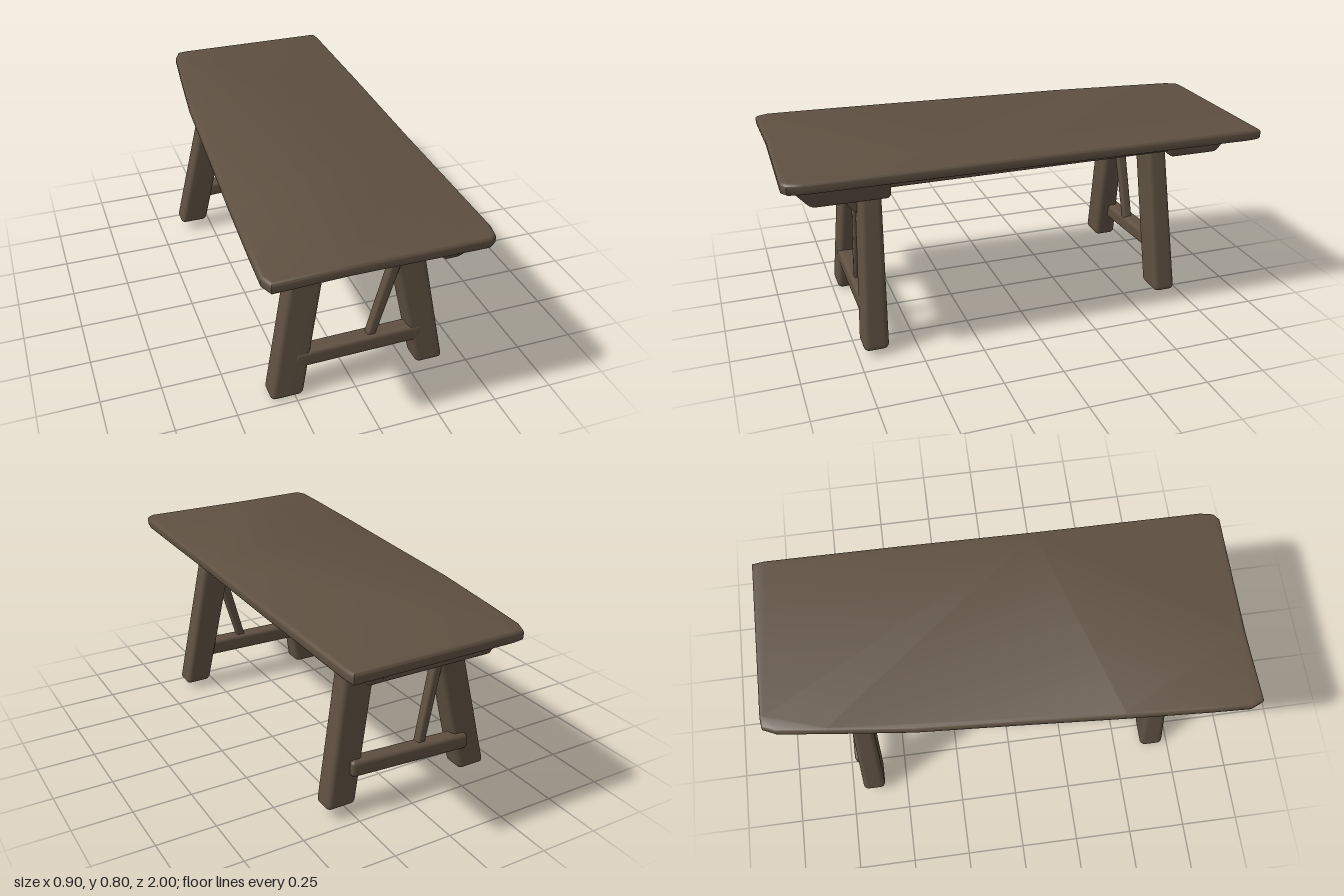
import * as THREE from 'three';
import { mergeVertices, toCreasedNormals } from 'three/addons/utils/BufferGeometryUtils.js';
import { RoundedBoxGeometry } from 'three/addons/geometries/RoundedBoxGeometry.js';

const wood = new THREE.MeshStandardMaterial({ color: 0x5e5041 });
wood.name = 'dark weathered wood';

// Softly rounded timber along one axis, from centre a to centre b.
// sa and sb are the sizes of the two ends (the value on the axis is ignored).
function timber(name, axis, a, b, sa, sb = sa, radius = 0.018) {
  const len = b[axis] - a[axis];
  const dim = [0, 1, 2].map(i => (i === axis ? len : (sa[i] + sb[i]) / 2));
  let geo = new RoundedBoxGeometry(...dim, 3, Math.min(radius, Math.min(...dim) * 0.45));
  const pos = geo.attributes.position;
  for (let v = 0; v < pos.count; v++) {
    const p = [pos.getX(v), pos.getY(v), pos.getZ(v)];
    const t = p[axis] / len + 0.5;
    const q = p.map((c, i) => {
      const centre = a[i] + (b[i] - a[i]) * t;
      return i === axis ? centre : centre + c * (sa[i] + (sb[i] - sa[i]) * t) / dim[i];
    });
    pos.setXYZ(v, ...q);
  }
  geo.deleteAttribute('normal');
  geo.deleteAttribute('uv');
  geo = mergeVertices(geo, 1e-5);
  geo.computeVertexNormals();
  const mesh = new THREE.Mesh(geo, wood);
  mesh.name = name;
  return mesh;
}

// Uneven slab with softened edges
function tabletop() {
  const bevel = 0.015;
  const outline = [
    [-0.25, -1], [0.445, -1], [0.45, -0.96], [0.445, -0.4], [0.435, 0.2], [0.43, 0.93],
    [0.42, 0.98], [0.40, 0.995], [-0.15, 0.99], [-0.435, 1], [-0.452, 0.96], [-0.445, 0.8],
    [-0.425, 0.45], [-0.395, 0], [-0.37, -0.4], [-0.33, -0.75], [-0.305, -0.95], [-0.285, -0.995],
  ].map(([x, z]) => new THREE.Vector2(
    x - Math.sign(x) * bevel * 0.95, z * (1 - bevel)));
  let geo = new THREE.ExtrudeGeometry(new THREE.Shape(outline), {
    depth: 0.018, bevelEnabled: true, bevelThickness: bevel, bevelSize: bevel, bevelSegments: 4,
  });
  geo.rotateX(Math.PI / 2);
  geo.translate(0, 0.787, 0);
  geo = toCreasedNormals(geo, 0.7);
  const mesh = new THREE.Mesh(geo, wood);
  mesh.name = 'tabletop';
  return mesh;
}

export function createModel() {
  const table = new THREE.Group();
  table.name = 'trestleTable';
  table.add(tabletop());

  // Front trestle: splayed legs, stretcher, head beam and leaning brace
  const front = new THREE.Group();
  front.name = 'frontTrestle';
  front.add(
    timber('rightLeg', 1, [-0.285, 0, 0.675], [-0.158, 0.75, 0.635], [0.14, 0, 0.105], [0.14, 0, 0.085], 0.022),
    timber('leftLeg', 1, [0.342, 0.022, 0.675], [0.195, 0.75, 0.635], [0.12, 0, 0.105], [0.14, 0, 0.085], 0.022),
    timber('stretcher', 0, [-0.25, 0.172, 0.68], [0.30, 0.18, 0.68], [0, 0.075, 0.075]),
    timber('headBeam', 0, [-0.2, 0.70, 0.64], [0.24, 0.71, 0.64], [0, 0.085, 0.085]),
    timber('brace', 1, [0.077, 0.19, 0.68], [0.195, 0.62, 0.68], [0.038, 0, 0.04], [0.05, 0, 0.045], 0.012),
    timber('bracket', 1, [0.2, 0.565, 0.67], [0.2, 0.70, 0.78], [0.05, 0, 0.05], [0.05, 0, 0.06], 0.01),
  );

  // Back trestle, set a little to the right
  const back = new THREE.Group();
  back.name = 'backTrestle';
  back.add(
    timber('rightLeg', 1, [-0.34, 0.04, -0.648], [-0.182, 0.75, -0.615], [0.13, 0, 0.1], [0.13, 0, 0.085], 0.022),
    timber('leftLeg', 1, [0.30, 0.045, -0.648], [0.18, 0.75, -0.615], [0.13, 0, 0.1], [0.14, 0, 0.085], 0.022),
    timber('stretcher', 0, [-0.30, 0.18, -0.675], [0.26, 0.21, -0.675], [0, 0.07, 0.07]),
    timber('headBeam', 0, [-0.2, 0.70, -0.62], [0.2, 0.70, -0.62], [0, 0.115, 0.085]),
    timber('brace', 1, [-0.075, 0.19, -0.665], [-0.185, 0.66, -0.64], [0.038, 0, 0.04], [0.045, 0, 0.045], 0.012),
  );
  table.add(front, back);

  // Apron under the top: long rails, end rails and corner blocks
  const apron = new THREE.Group();
  apron.name = 'apron';
  apron.add(
    timber('leftRail', 2, [0.27, 0.725, -0.88], [0.28, 0.725, 0.86], [0.06, 0.075, 0]),
    timber('rightRail', 2, [-0.215, 0.725, -0.88], [-0.215, 0.725, 0.86], [0.055, 0.075, 0]),
    timber('frontEndRail', 0, [-0.21, 0.712, 0.84], [0.30, 0.722, 0.84], [0, 0.075, 0.06]),
    timber('backEndRail', 0, [-0.23, 0.715, -0.86], [0.30, 0.715, -0.86], [0, 0.085, 0.07]),
    timber('frontLeftBlock', 1, [0.30, 0.655, 0.725], [0.315, 0.765, 0.77], [0.06, 0, 0.31], [0.11, 0, 0.4]),
    timber('frontRightBlock', 1, [-0.2, 0.655, 0.74], [-0.215, 0.765, 0.77], [0.05, 0, 0.25], [0.09, 0, 0.38]),
    timber('backLeftBlock', 1, [0.28, 0.665, -0.77], [0.29, 0.765, -0.78], [0.06, 0, 0.22], [0.08, 0, 0.33]),
    timber('backRightBlock', 1, [-0.2, 0.665, -0.77], [-0.2, 0.765, -0.78], [0.05, 0, 0.22], [0.08, 0, 0.33]),
  );
  table.add(apron);
  return table;
}
